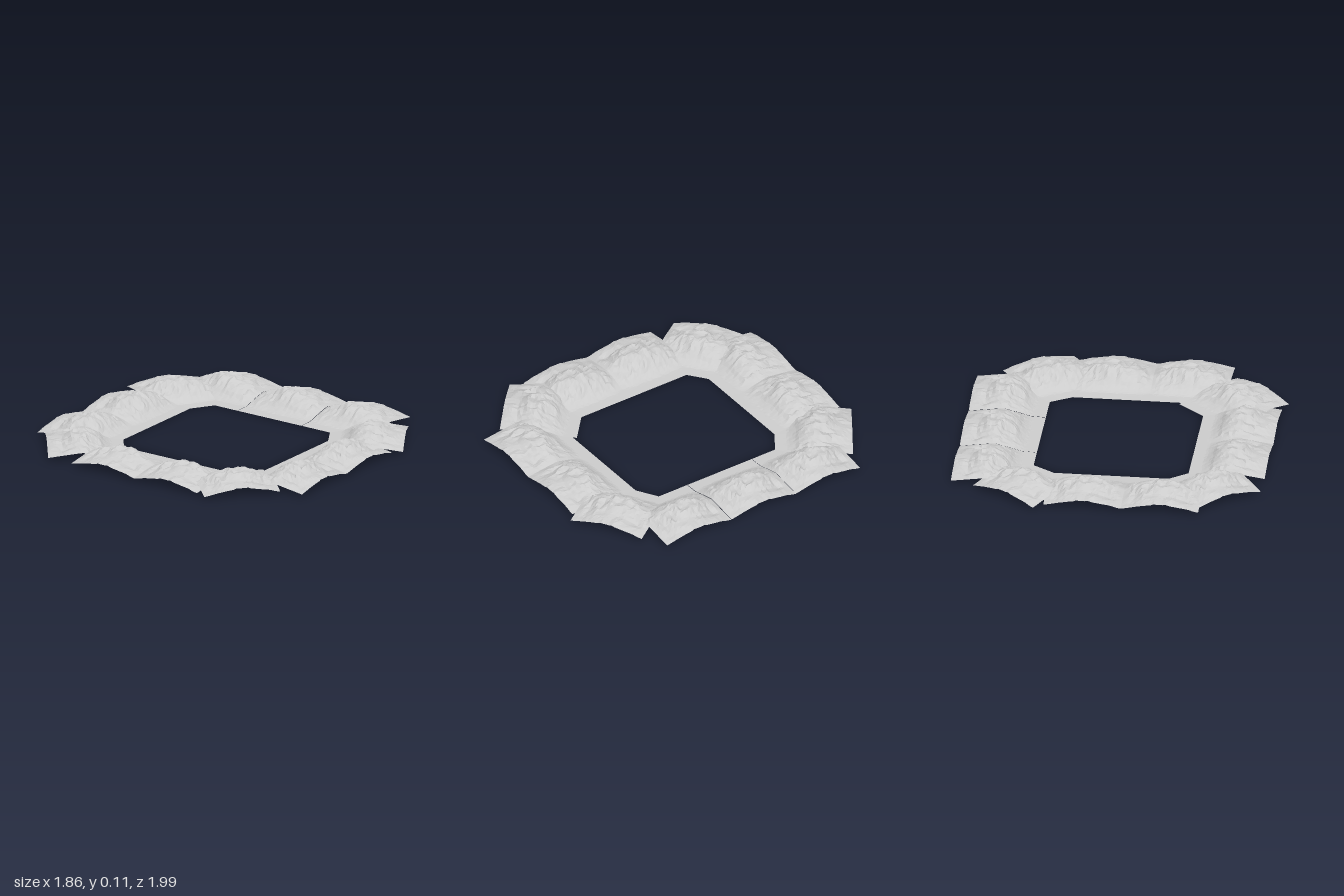
import * as THREE from 'three';

const WIDTH = 0.457, DEPTH = 0.456, SEGMENTS = 26;

// Height from the inner edge (v = 0) to the outer edge (v = 1)
const PEAK = [[0, 0], [0.16, 0.004], [0.26, 0.025], [0.4, 0.078], [0.52, 0.104], [0.65, 0.095], [0.8, 0.073], [1, 0.055]];
const SADDLE = [[0, 0], [0.2, 0.004], [0.35, 0.024], [0.55, 0.046], [0.75, 0.034], [1, 0.018]];

function sample(profile, t) {
  for (let i = 1; i < profile.length; i++) {
    const [a, ya] = profile[i - 1], [b, yb] = profile[i];
    if (t <= b) return THREE.MathUtils.lerp(ya, yb, (t - a) / (b - a));
  }
  return profile[profile.length - 1][1];
}

function hash(i, j) {
  const s = Math.sin(i * 127.1 + j * 311.7) * 43758.5453;
  return s - Math.floor(s);
}

function noise(x, y) {
  const i = Math.floor(x), j = Math.floor(y);
  const fx = THREE.MathUtils.smoothstep(x - i, 0, 1), fy = THREE.MathUtils.smoothstep(y - j, 0, 1);
  const { lerp } = THREE.MathUtils;
  return lerp(lerp(hash(i, j), hash(i + 1, j), fx), lerp(hash(i, j + 1), hash(i + 1, j + 1), fx), fy);
}

// Sharp crests, between -0.5 and 0.5
const ridged = (x, y) => 0.5 - Math.abs(2 * noise(x, y) - 1);

function height(u, v) {
  const bump = Math.pow(Math.max(0, Math.sin(Math.PI * u)), 1.2);
  const base = THREE.MathUtils.lerp(sample(SADDLE, v), sample(PEAK, v), bump);
  const fade = THREE.MathUtils.smoothstep(v, 0.14, 0.4) * (1 - 0.75 * THREE.MathUtils.smoothstep(v, 0.72, 1));
  const sides = THREE.MathUtils.smoothstep(Math.min(u, 1 - u), 0, 0.12);
  const rough = 0.022 * ridged(u * 6 + 3, v * 5 + 1) + 0.016 * ridged(u * 13 + 9, v * 11 + 4);
  return THREE.MathUtils.clamp(base + rough * fade * sides, 0, 0.121);
}

// One square of mountain terrain, outer edge towards -z
function terrainTile() {
  const geometry = new THREE.PlaneGeometry(WIDTH, DEPTH, SEGMENTS, SEGMENTS).rotateX(-Math.PI / 2);
  const p = geometry.attributes.position;
  for (let k = 0; k < p.count; k++) {
    let u = p.getX(k) / WIDTH + 0.5, v = 0.5 - p.getZ(k) / DEPTH;
    // Jitter the inner grid points so the facets look natural
    if (u > 0.01 && u < 0.99 && v > 0.01 && v < 0.99) {
      u += (hash(k, 1) - 0.5) * 0.6 / SEGMENTS;
      v += (hash(k, 2) - 0.5) * 0.6 / SEGMENTS;
    }
    p.setXYZ(k, (u - 0.5) * WIDTH, height(u, v), (0.5 - v) * DEPTH);
  }
  geometry.computeVertexNormals();
  return geometry;
}

export function createModel() {
  const group = new THREE.Group();
  group.name = 'mountainRing';
  const geometry = terrainTile();
  const material = new THREE.MeshStandardMaterial({ color: 0xcccccc, flatShading: true, side: THREE.DoubleSide });

  // Tile centre (x, z) and the direction its outer edge faces
  function addTile(name, x, z, outX, outZ) {
    const tile = new THREE.Mesh(geometry, material);
    tile.name = name;
    tile.position.set(x, 0, z);
    tile.rotation.y = Math.atan2(-outX, -outZ);
    group.add(tile);
  }

  // Straight sides
  for (const x of [-0.332, 0.125]) {
    addTile('backMountain', x, -0.727, 0, -1);
    addTile('frontMountain', x, 0.72, 0, 1);
  }
  for (const z of [-0.245, 0.205]) addTile('rightMountain', -0.67, z, -1, 0);
  for (const z of [-0.477, -0.018, 0.442]) addTile('leftMountain', 0.7, z, 1, 0);

  // Turned corners
  addTile('backLeftCornerMountain', 0.475, -0.685, 0.55, -0.835);
  addTile('frontLeftCornerMountain', 0.475, 0.68, 0.52, 0.855);
  addTile('backRightCornerMountain', -0.575, -0.6, -0.615, -0.79);
  addTile('frontRightCornerMountain', -0.608, 0.492, -0.667, 0.744);

  return group;
}
